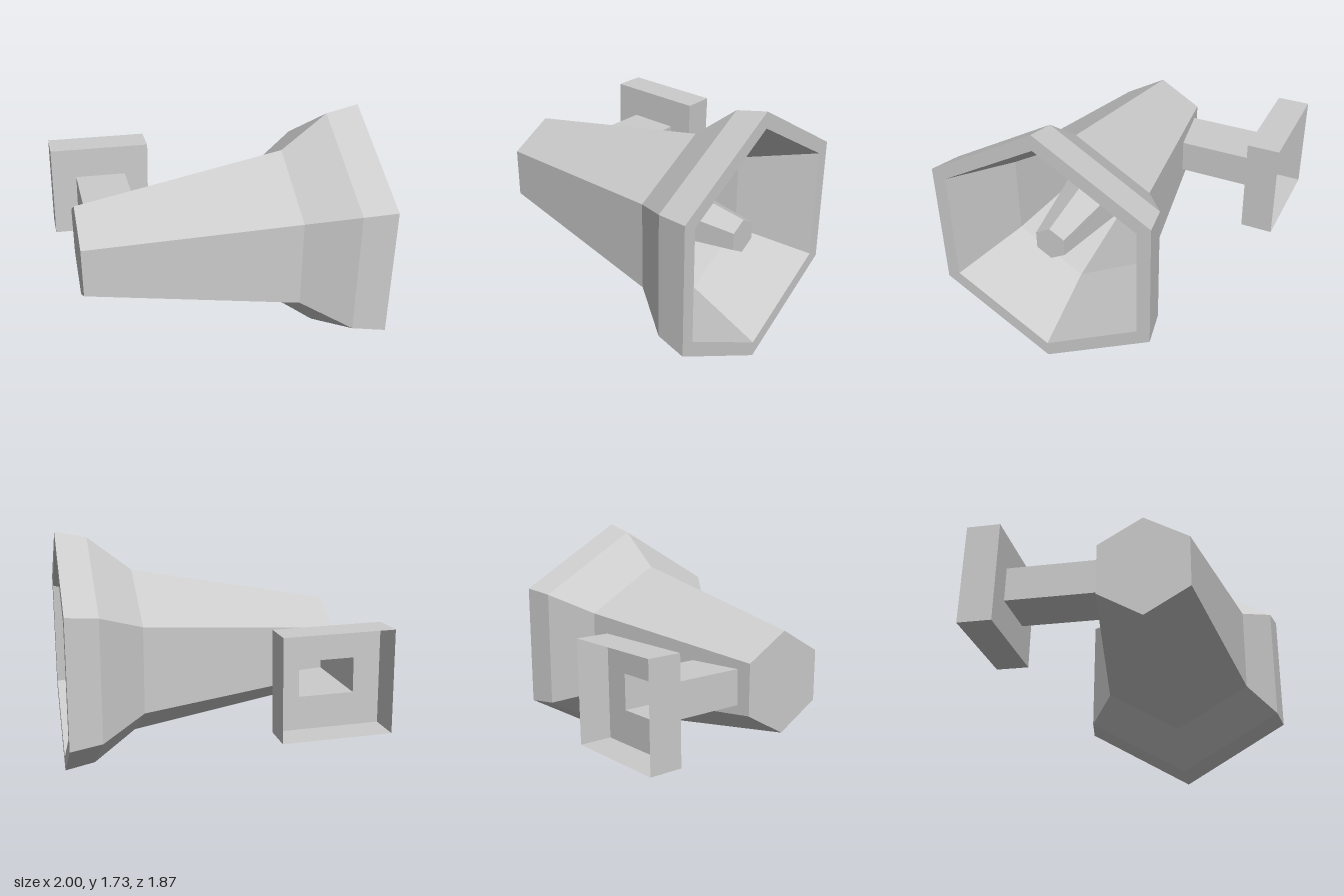
import * as THREE from 'three';

const material = new THREE.MeshStandardMaterial({ color: 0xcccccc, flatShading: true });
const thin = new THREE.MeshStandardMaterial({ color: 0xcccccc, flatShading: true, side: THREE.DoubleSide });

function addMesh(parent, name, geometry, mat) {
  const mesh = new THREE.Mesh(geometry, mat);
  mesh.name = name;
  parent.add(mesh);
  return mesh;
}

// Four thin walls running along z, open at both ends
function openSleeve(width, height, zBack, zFront) {
  const box = new THREE.BoxGeometry(width, height, zFront - zBack);
  box.setIndex(Array.from(box.index.array.slice(0, 24))); // side faces only
  box.clearGroups();
  box.translate(0, 0, (zFront + zBack) / 2);
  return box;
}

export function createModel() {
  const model = new THREE.Group();
  model.name = 'hornLoudspeaker';

  // Six-sided horn: closed back, outer shell, rim, inner throat and central core
  const profile = [
    [0, -0.905], [0.336, -0.905], [0.588, 0.485], [0.82, 0.785], [0.865, 1],
    [0.76, 1], [0.54, 0.5], [0.407, -0.2],
    [0.235, 0.1], [0.115, 0.875], [0, 0.875],
  ].map(([r, x]) => new THREE.Vector2(r, x));
  const horn = new THREE.LatheGeometry(profile, 6, Math.PI / 2);
  horn.rotateZ(-Math.PI / 2);
  addMesh(model, 'horn', horn, material).position.set(0, 0.866, 0.185);

  // Wall bracket, very slightly tilted
  const bracket = new THREE.Group();
  bracket.name = 'wallBracket';
  bracket.position.set(-0.632, 0.865, 0);
  bracket.rotation.z = -0.02;
  model.add(bracket);

  const plateW = 0.72, plateH = 0.675, armW = 0.366, armH = 0.232;
  const plateFront = -0.715, plateBack = -0.935;

  // Hollow arm reaching into the horn
  addMesh(bracket, 'arm', openSleeve(armW, armH, plateFront, -0.08), thin);

  // Mounting box, open towards the wall
  addMesh(bracket, 'mountWalls', openSleeve(plateW, plateH, plateBack, plateFront), thin);

  // Front of the mounting box, with an opening into the arm
  const rect = (Type, w, h) => new Type([[-1, -1], [1, -1], [1, 1], [-1, 1]]
    .map(([x, y]) => new THREE.Vector2(x * w / 2, y * h / 2)));
  const panel = rect(THREE.Shape, plateW, plateH);
  panel.holes.push(rect(THREE.Path, armW, armH));
  addMesh(bracket, 'mountPanel', new THREE.ShapeGeometry(panel), thin).position.z = plateFront;

  return model;
}
